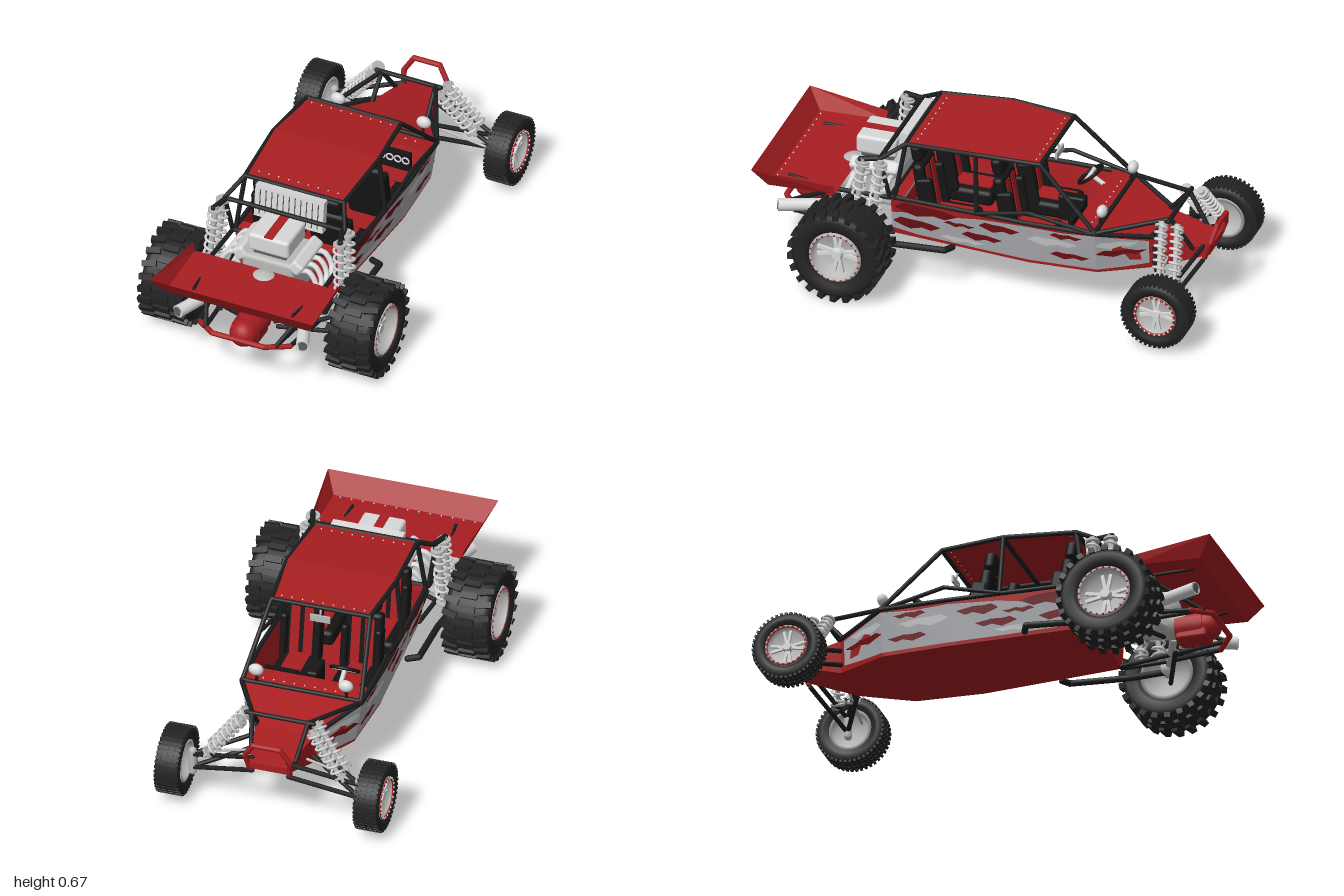
import * as THREE from 'three';
import { mergeGeometries } from 'three/addons/utils/BufferGeometryUtils.js';
import { RoundedBoxGeometry } from 'three/addons/geometries/RoundedBoxGeometry.js';

const M = (name, color, two) => {
  const m = new THREE.MeshStandardMaterial({ color });
  m.name = name;
  if (two) m.side = THREE.DoubleSide;
  return m;
};
const red = M('bodyRed', 0xa81e21, true), darkRed = M('flameRed', 0x6e1013, true);
const black = M('frameBlack', 0x1c1d1e), tyre = M('tyreRubber', 0x232323), pad = M('seatBlack', 0x151516);
const metal = M('metal', 0xb9bab8), silver = M('silver', 0xd8d9d8), grey = M('paintGrey', 0xa9aaae, true);
const pale = M('paleGrey', 0xc6c7ca, true), dark = M('darkMetal', 0x5d6060);
const V = (p) => new THREE.Vector3(...p);

export function createModel() {
  const root = new THREE.Group();
  const add = (name, geo, mat, pos = [0, 0, 0], parent = root) => {
    const m = new THREE.Mesh(geo, mat);
    m.name = name;
    m.position.set(...pos);
    parent.add(m);
    return m;
  };
  // straight rod between two points
  const rodGeo = (a, b, r, r2 = r, n = 10) => {
    const A = V(a), B = V(b), d = B.clone().sub(A);
    const g = new THREE.CylinderGeometry(r2, r, d.length(), n);
    g.applyQuaternion(new THREE.Quaternion().setFromUnitVectors(new THREE.Vector3(0, 1, 0), d.normalize()));
    return g.translate(...A.add(B).multiplyScalar(0.5).toArray());
  };
  // bent pipe: rods with ball joints
  const pipe = (name, pts, r = 0.01, mat = black) => {
    const gs = [];
    for (let i = 0; i < pts.length; i++) {
      if (i) gs.push(rodGeo(pts[i - 1], pts[i], r));
      gs.push(new THREE.SphereGeometry(r, 8, 6).translate(...pts[i]));
    }
    return add(name, mergeGeometries(gs), mat);
  };
  const curve = (name, pts, r, mat) =>
    add(name, new THREE.TubeGeometry(new THREE.CatmullRomCurve3(pts.map(V)), 20, r, 10), mat);
  const mir = (s, pts) => pts.map(([x, y, z]) => [x * s, y, z]);
  const pipes = (name, pts, r, mat) => [1, -1].forEach((s) => pipe(name, mir(s, pts), r, mat));
  // flat panels, each a convex loop of corners
  const panel = (name, loops, mat = red) => {
    const a = [];
    for (const l of loops) for (let i = 1; i < l.length - 1; i++) a.push(...l[0], ...l[i], ...l[i + 1]);
    const g = new THREE.BufferGeometry();
    g.setAttribute('position', new THREE.Float32BufferAttribute(a, 3));
    g.computeVertexNormals();
    return add(name, g, mat);
  };

  // body tub: z, top half-width, top y, bottom half-width, bottom y
  const st = [[0.42, 0.25, 0.39, 0.22, 0.2], [-0.2, 0.272, 0.385, 0.25, 0.185], [-0.5, 0.265, 0.385, 0.235, 0.185],
    [-0.72, 0.13, 0.335, 0.12, 0.19], [-0.95, 0.085, 0.3, 0.08, 0.27]];
  const sideX = (z, y) => {
    let i = 0;
    while (i < 3 && z < st[i + 1][0]) i++;
    const t = (z - st[i][0]) / (st[i + 1][0] - st[i][0]);
    const [, xt, yt, xb, yb] = st[i].map((v, k) => v + (st[i + 1][k] - v) * t);
    return xb + (xt - xb) * (y - yb) / (yt - yb);
  };
  const T = (i, s) => [st[i][1] * s, st[i][2], st[i][0]], B = (i, s) => [st[i][3] * s, st[i][4], st[i][0]];
  for (const s of [1, -1]) panel('bodySide', [0, 1, 2, 3].map((i) => [T(i, s), T(i + 1, s), B(i + 1, s), B(i, s)]));
  panel('floor', [0, 1, 2, 3].map((i) => [B(i, 1), B(i, -1), B(i + 1, -1), B(i + 1, 1)]));
  panel('hood', [2, 3].map((i) => [T(i, 1), T(i, -1), T(i + 1, -1), T(i + 1, 1)]));
  panel('nosePlate', [[T(4, 1), T(4, -1), B(4, -1), B(4, 1)]]);
  panel('rearBulkhead', [[T(0, 1), T(0, -1), B(0, -1), B(0, 1)]]);
  panel('rearDeck', [[[-0.25, 0.39, 0.42], [0.25, 0.39, 0.42], [0.24, 0.4, 0.36], [-0.24, 0.4, 0.36]]]);
  panel('dash', [[[-0.262, 0.386, -0.5], [0.262, 0.386, -0.5], [0.26, 0.4, -0.4], [-0.26, 0.4, -0.4]],
    [[-0.26, 0.4, -0.4], [0.26, 0.4, -0.4], [0.25, 0.29, -0.37], [-0.25, 0.29, -0.37]]]);

  // painted side graphics: bands of z, low y, high y
  const band = (name, rows, mat, off) => [1, -1].forEach((s) => {
    const p = (z, y) => [s * (sideX(z, y) + off), y, z];
    panel(name, rows.slice(1).map((r, i) => {
      const q = rows[i];
      return [p(q[0], q[1]), p(r[0], r[1]), p(r[0], r[2]), p(q[0], q[2])];
    }), mat);
  });
  band('sidePaint', [[0.42, 0.23, 0.31], [0.3, 0.215, 0.33], [0.15, 0.21, 0.34], [0.02, 0.205, 0.36], [-0.2, 0.2, 0.37],
    [-0.35, 0.2, 0.365], [-0.5, 0.2, 0.375], [-0.6, 0.205, 0.35], [-0.7, 0.215, 0.325]], grey, 0.003);
  const flame = (z0, z1, lo, hi, mat) => band('flame', [0, 0.15, 0.35, 0.6, 0.8, 1].map((t, i) => {
    const h = [0.1, 0.8, 1, 0.65, 0.7, 0.05][i] * (hi - lo) / 2, c = (lo + hi) / 2 + [0, 0.004, -0.004, 0.004, -0.003, 0.003][i];
    return [z0 + (z1 - z0) * t, c - h, c + h];
  }), mat, 0.005);
  [[0.4, 0.12, 0.315, 0.375], [0.41, 0.2, 0.245, 0.295], [0.1, -0.08, 0.25, 0.285], [0.02, -0.16, 0.31, 0.35],
    [-0.3, -0.47, 0.235, 0.265], [-0.5, -0.69, 0.265, 0.295], [-0.3, -0.44, 0.335, 0.36], [0.18, 0.04, 0.3, 0.32]]
    .forEach((f) => flame(...f, darkRed));
  [[-0.2, -0.42, 0.29, 0.33], [0.2, 0.0, 0.22, 0.245], [-0.5, -0.66, 0.305, 0.34]].forEach((f) => flame(...f, pale));

  // roof and its rivets
  const rf = [[0.36, 0.225, 0.648], [0.04, 0.24, 0.668], [-0.24, 0.215, 0.65]];
  panel('roof', [0, 1].map((i) => [[rf[i][1], rf[i][2], rf[i][0]], [-rf[i][1], rf[i][2], rf[i][0]],
    [-rf[i + 1][1], rf[i + 1][2], rf[i + 1][0]], [rf[i + 1][1], rf[i + 1][2], rf[i + 1][0]]]));
  const rivets = [];
  for (let i = -4; i <= 4; i++) for (const [z, y] of [[0.32, 0.652], [-0.21, 0.653], [-0.46, 0.393]])
    rivets.push(new THREE.SphereGeometry(0.004, 6, 4).translate(i * 0.046, y, z));
  add('rivets', mergeGeometries(rivets), silver);

  // roll cage
  pipes('cageSide', [[0.265, 0.39, -0.5], [0.22, 0.65, -0.24], [0.245, 0.66, 0.04], [0.23, 0.645, 0.36], [0.28, 0.58, 0.46], [0.26, 0.39, 0.42]]);
  pipes('sideRail', [[0.254, 0.392, 0.42], [0.275, 0.388, -0.2], [0.268, 0.388, -0.5], [0.13, 0.34, -0.72]]);
  pipes('centrePillar', [[0.245, 0.66, 0.04], [0.27, 0.39, 0.03]]);
  pipes('rearPillar', [[0.23, 0.645, 0.36], [0.255, 0.39, 0.4]]);
  pipes('doorBar', [[0.272, 0.39, 0.03], [0.285, 0.445, -0.21], [0.268, 0.39, -0.48]], 0.009);
  for (const [x, y, z] of [[0.22, 0.65, -0.24], [0.245, 0.655, 0.04], [0.23, 0.645, 0.36], [0.28, 0.58, 0.46], [0.265, 0.395, -0.5], [0.26, 0.392, 0.42]])
    pipe('crossBar', [[-x, y, z], [x, y, z]]);
  pipes('noseFrame', [[0.265, 0.39, -0.5], [0.125, 0.44, -0.79], [0.1, 0.3, -0.88]]);
  pipes('noseStrut', [[0.125, 0.44, -0.79], [0.13, 0.335, -0.7]]);
  pipe('noseCrossBar', [[-0.15, 0.44, -0.79], [0.15, 0.44, -0.79]]);
  pipe('noseBumper', [[-0.09, 0.26, -0.93], [-0.1, 0.34, -0.96], [-0.06, 0.405, -0.975], [0.06, 0.405, -0.975], [0.1, 0.34, -0.96], [0.09, 0.26, -0.93]], 0.012, red);

  // rear frame and bumper
  pipes('rearFrame', [[0.26, 0.39, 0.42], [0.265, 0.39, 0.66], [0.165, 0.235, 0.9], [0.2, 0.2, 0.42]]);
  pipe('wingBar', [[-0.265, 0.39, 0.66], [0.265, 0.39, 0.66]]);
  pipes('wingStrut', [[0.25, 0.385, 0.68], [0.23, 0.4, 0.88]], 0.007);
  pipe('rearBumper', [[-0.21, 0.22, 0.86], [-0.12, 0.235, 0.93], [0.12, 0.235, 0.93], [0.21, 0.22, 0.86]], 0.012, red);
  pipes('bumperStay', [[0.21, 0.22, 0.86], [0.25, 0.22, 0.62], [0.22, 0.2, 0.42]]);
  pipes('frameStub', [[0.21, 0.305, 0.72], [0.13, 0.31, 0.84]], 0.007);

  // rear wing tray
  const lip = [[0.335, 0.395, 0.94], [0.38, 0.48, 1.0]], wf = [[0.335, 0.405, 0.64], [0.345, 0.445, 0.64]];
  const L = ([x, y, z]) => [-x, y, z];
  panel('wing', [[wf[0], L(wf[0]), L(lip[0]), lip[0]], [lip[0], L(lip[0]), L(lip[1]), lip[1]],
    ...[1, -1].map((s) => mir(s, [wf[0], lip[0], lip[1], wf[1]]))]);
  for (let i = -6; i <= 6; i++) add('wingRivet', new THREE.SphereGeometry(0.004, 6, 4), silver, [i * 0.05, 0.4, 0.925]);

  // engine, intake and radiator
  add('engineBlock', new RoundedBoxGeometry(0.24, 0.2, 0.22, 2, 0.02), metal, [0, 0.36, 0.53]);
  add('intakeBox', new RoundedBoxGeometry(0.19, 0.085, 0.18, 3, 0.015), silver, [0, 0.523, 0.54]);
  add('intakeBase', new THREE.BoxGeometry(0.15, 0.06, 0.14), dark, [0, 0.46, 0.54]);
  add('intakeStripe', new THREE.BoxGeometry(0.04, 0.005, 0.175), red, [0, 0.566, 0.54]);
  const rad = new THREE.Group();
  rad.name = 'radiator';
  rad.position.set(0, 0.575, 0.4);
  rad.rotation.x = -0.12;
  root.add(rad);
  add('core', new THREE.BoxGeometry(0.32, 0.15, 0.035), silver, [0, 0, 0], rad);
  for (let i = -5; i <= 5; i++) add('slot', new THREE.BoxGeometry(0.004, 0.12, 0.004), dark, [i * 0.027, 0, 0.018], rad);
  const bell = add('bellHousing', new THREE.SphereGeometry(0.092, 24, 16), metal, [0, 0.325, 0.67]);
  bell.scale.z = 0.9;
  add('gearboxNeck', rodGeo([0, 0.29, 0.62], [0, 0.24, 0.82], 0.075, 0.055, 16), metal);
  add('gearbox', rodGeo([0, 0.235, 0.74], [0, 0.235, 0.86], 0.068, 0.065, 16), red);
  add('gearboxEnd', new THREE.SphereGeometry(0.062, 16, 12), red, [0, 0.235, 0.87]);
  add('gearboxFoot', new RoundedBoxGeometry(0.11, 0.06, 0.14, 2, 0.012), red, [0, 0.2, 0.81]);
  for (const s of [1, -1]) {
    add('valveCover', new RoundedBoxGeometry(0.06, 0.06, 0.22, 2, 0.015), silver, [s * 0.13, 0.45, 0.53]).rotation.z = -s * 0.6;
    for (let i = 0; i < 4; i++) {
      const z = 0.45 + i * 0.052;
      curve('header', mir(s, [[0.11, 0.41, z], [0.18, 0.43, z], [0.225, 0.37, z + 0.02], [0.21, 0.3, 0.7]]), 0.012, silver);
    }
    add('exhaust', rodGeo([s * 0.2, 0.275, 0.68], [s * 0.29, 0.28, 0.91], 0.026, 0.028, 16), silver);
    add('exhaustMouth', rodGeo([s * 0.2895, 0.28, 0.908], [s * 0.2905, 0.28, 0.912], 0.022, 0.022, 14), dark);
    add('halfShaft', rodGeo([s * 0.06, 0.23, 0.7], [s * 0.36, 0.21, 0.575], 0.016), metal);
    add('shaftJoint', new THREE.SphereGeometry(0.035, 12, 8), silver, [s * 0.3, 0.214, 0.6]);
  }

  // coil-over shocks
  const shock = (a, b, r) => {
    const A = V(a), d = V(b).sub(A), len = d.length(), g = new THREE.Group();
    g.name = 'shock';
    g.position.copy(A);
    g.quaternion.setFromUnitVectors(new THREE.Vector3(0, 1, 0), d.normalize());
    root.add(g);
    const pts = [];
    for (let i = 0; i <= 84; i++) pts.push(new THREE.Vector3(Math.cos(i * Math.PI / 6) * r, len * (0.12 + 0.8 * i / 84), Math.sin(i * Math.PI / 6) * r));
    add('coil', new THREE.TubeGeometry(new THREE.CatmullRomCurve3(pts), 110, 0.006, 6), silver, [0, 0, 0], g);
    add('damper', new THREE.CylinderGeometry(r * 0.55, r * 0.4, len, 10), metal, [0, len / 2, 0], g);
    for (const t of [0.1, 0.94]) add('springSeat', new THREE.CylinderGeometry(r * 1.15, r * 1.15, 0.01, 14), metal, [0, len * t, 0], g);
  };
  for (const s of [1, -1]) {
    for (const z of [0.45, 0.53]) shock([s * 0.31, 0.25, z + 0.03], [s * 0.29, 0.58, z], 0.027);
    for (const z of [-0.78, -0.85]) shock([s * 0.31, 0.23, z - 0.02], [s * 0.15, 0.435, z + 0.02], 0.025);
  }
  pipes('shockMount', [[0.27, 0.58, 0.46], [0.295, 0.575, 0.54]], 0.012);

  // suspension arms
  pipes('trailingArm', [[0.26, 0.2, 0.14], [0.305, 0.205, 0.16], [0.3, 0.19, 0.42], [0.33, 0.21, 0.575]], 0.014);
  pipes('rearLowerArm', [[0.08, 0.175, 0.7], [0.33, 0.155, 0.6]]);
  pipes('rearUpperArm', [[0.16, 0.235, 0.76], [0.33, 0.25, 0.6]]);
  for (const y of [0.2, 0.265])
    pipes('frontArm', [[0.11, y + 0.03, -0.71], [0.375, y - 0.05, -0.85], [0.08, y + 0.04, -0.92]]);
  pipes('steeringRod', [[0.08, 0.25, -0.77], [0.385, 0.19, -0.79]], 0.006, metal);
  pipes('frontSpindle', [[0.37, 0.23, -0.846], [0.37, 0.13, -0.846]], 0.018, metal);

  // wheels: axle along x, outer face +x
  const wheel = (name, s, x, y, z, R, w, rr, big) => {
    const g = new THREE.Group();
    g.name = name;
    g.position.set(s * x, y, z);
    if (s < 0) g.rotation.y = Math.PI;
    root.add(g);
    const turn = (pts, n = 40) => new THREE.LatheGeometry(pts.map((p) => new THREE.Vector2(...p)), n).rotateZ(-Math.PI / 2);
    const c = R - (big ? 0.014 : 0.005);
    add('tyre', turn([[rr, -w * 0.8], [rr + 0.02, -w * 0.95], [c - 0.025, -w], [c - 0.006, -w * 0.9], [c, -w * 0.7], [c, w * 0.7],
      [c - 0.006, w * 0.9], [c - 0.025, w], [rr + 0.02, w * 0.95], [rr, w * 0.8], [rr, -w * 0.8]]), tyre, [0, 0, 0], g);
    const knobs = [], n = big ? 22 : 44;
    for (let i = 0; i < n; i++) for (const k of big ? [-1, 0, 1] : [-1, -0.35, 0.35, 1]) {
      const b = new THREE.BoxGeometry(big ? (k ? w * 0.62 : w * 0.7) : w * 0.42, big ? 0.024 : 0.01, big ? 0.026 : 0.011);
      if (big) b.rotateY(k * 0.22);
      b.translate(k * w * (big ? 0.7 : 0.72), R - (big ? 0.0125 : 0.007), 0);
      knobs.push(b.rotateX((i + (big && !k ? 0.5 : 0)) * Math.PI * 2 / n));
    }
    add('tread', mergeGeometries(knobs), tyre, [0, 0, 0], g);
    add('rim', turn([[0.001, -w * 0.1], [rr * 0.8, -w * 0.1], [rr * 0.86, -w * 0.85], [rr + 0.002, -w * 0.85], [rr + 0.002, w * 0.85],
      [rr * 0.88, w * 0.85], [rr * 0.82, w * 0.35], [0.001, w * 0.35]]), metal, [0, 0, 0], g);
    add('beadRing', new THREE.TorusGeometry(rr * 0.95, rr * 0.055, 8, 36).rotateY(Math.PI / 2), big ? metal : red, [w * 0.87, 0, 0], g);
    for (let i = 0; i < 24; i++) {
      const a = i * Math.PI / 12;
      add('beadBolt', new THREE.SphereGeometry(0.005, 6, 4), big ? red : silver, [w * 0.87 + rr * 0.05, Math.cos(a) * rr * 0.95, Math.sin(a) * rr * 0.95], g);
    }
    for (let i = 0; i < 4; i++) for (const o of [-0.2, 0.2])
      add('spoke', new THREE.BoxGeometry(0.014, rr * 0.75, rr * 0.13).translate(0, rr * 0.45, 0).rotateX(i * Math.PI / 2 + o), silver, [w * 0.42, 0, 0], g);
    add('hub', new THREE.CylinderGeometry(rr * 0.18, rr * 0.26, w * 0.4, 16).rotateZ(-Math.PI / 2), silver, [w * 0.5, 0, 0], g);
  };
  for (const s of [1, -1]) {
    wheel('rearWheel', s, 0.435, 0.21, 0.575, 0.21, 0.103, 0.115, true);
    wheel('frontWheel', s, 0.443, 0.173, -0.846, 0.154, 0.056, 0.092, false);
  }

  // seats
  for (const z of [-0.09, 0.27]) for (const s of [1, -1]) {
    const g = new THREE.Group();
    g.name = 'seat';
    g.position.set(s * 0.135, 0.27, z);
    root.add(g);
    add('cushion', new RoundedBoxGeometry(0.17, 0.07, 0.2, 2, 0.02), pad, [0, 0, -0.1], g);
    add('cushionInsert', new THREE.BoxGeometry(0.09, 0.008, 0.16), red, [0, 0.036, -0.1], g);
    const back = new THREE.Group();
    back.name = 'seatBack';
    back.rotation.x = 0.17;
    g.add(back);
    add('backrest', new RoundedBoxGeometry(0.17, 0.29, 0.05, 2, 0.02), pad, [0, 0.13, 0], back);
    add('headrest', new RoundedBoxGeometry(0.1, 0.08, 0.05, 2, 0.02), pad, [s * 0.02, 0.32, 0], back);
    for (const x of [-0.03, 0.03]) add('backInsert', new THREE.BoxGeometry(0.04, 0.22, 0.008), red, [x, 0.14, -0.025], back);
    for (const x of [-0.075, 0.075]) add('bolster', new RoundedBoxGeometry(0.03, 0.2, 0.07, 2, 0.012), pad, [x, 0.11, -0.02], back);
  }

  // steering, gauges and lights
  add('steeringWheel', new THREE.TorusGeometry(0.06, 0.008, 8, 24), pad, [-0.14, 0.43, -0.34]).rotation.x = -0.9;
  add('steeringColumn', rodGeo([-0.14, 0.38, -0.42], [-0.14, 0.428, -0.343], 0.01), silver);
  add('steeringSpoke', new THREE.BoxGeometry(0.11, 0.01, 0.015), silver, [-0.14, 0.43, -0.34]);
  add('console', new RoundedBoxGeometry(0.05, 0.12, 0.12, 2, 0.01), pad, [0, 0.34, -0.31]);
  add('passengerPanel', new THREE.BoxGeometry(0.15, 0.09, 0.02), pad, [0.13, 0.35, -0.37]);
  for (let i = 0; i < 4; i++) add('gauge', new THREE.TorusGeometry(0.015, 0.004, 6, 16), silver, [0.075 + i * 0.037, 0.36, -0.357]);
  for (const s of [1, -1]) {
    const lamp = add('lamp', new THREE.SphereGeometry(0.03, 16, 12), silver, [s * 0.2, 0.465, -0.51]);
    lamp.scale.set(1.1, 0.9, 0.75);
    pipe('lampStay', [[s * 0.2, 0.4, -0.5], [s * 0.2, 0.45, -0.505]], 0.007);
  }
  pipe('mirrorStay', [[0, 0.645, -0.24], [0, 0.61, -0.25]], 0.005, metal);
  add('mirror', new THREE.BoxGeometry(0.09, 0.03, 0.01), metal, [0, 0.6, -0.25]);
  return root;
}
